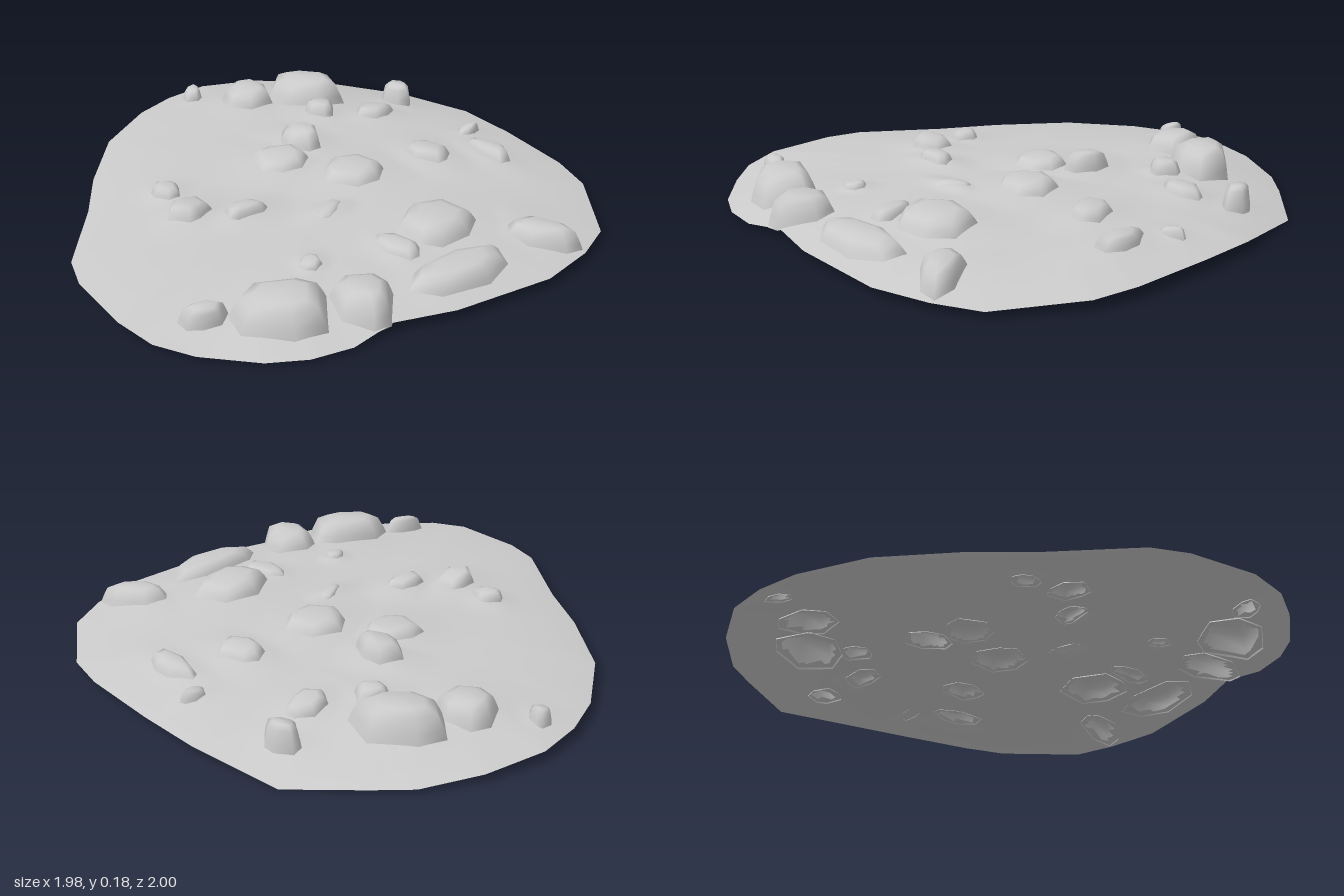
import * as THREE from 'three';
import { mergeVertices } from 'three/addons/utils/BufferGeometryUtils.js';

// Rim of the ground patch, clockwise from the back: x, y, z
const rim = [
  [0.18, 0.04, -1], [0.41, 0.03, -0.94], [0.61, 0.015, -0.83], [0.72, 0.012, -0.72],
  [0.91, 0, -0.5], [0.98, 0.035, -0.15], [0.985, 0.04, 0.1], [0.97, 0.04, 0.42],
  [0.93, 0.035, 0.59], [0.74, 0.025, 0.87], [0.58, 0.03, 0.95], [0.36, 0.03, 1],
  [-0.03, 0.035, 0.97], [-0.25, 0.035, 0.905], [-0.42, 0.015, 0.92], [-0.57, 0.012, 0.89],
  [-0.7, 0.01, 0.82], [-0.86, 0.012, 0.67], [-0.95, 0.025, 0.55], [-0.99, 0.04, 0.4],
  [-0.99, 0.04, 0.12], [-0.95, 0.04, -0.02], [-0.74, 0.04, -0.3], [-0.61, 0.04, -0.51],
  [-0.41, 0.04, -0.76], [-0.17, 0.04, -0.92], [0, 0.04, -0.98],
];

// Rocks: x, z, half width, half depth, turn, top height
const boulders = [
  [0.22, -0.70, 0.10, 0.11, 0.0, 0.15], [0.44, -0.59, 0.11, 0.17, -0.7, 0.175],
  [0.01, -0.14, 0.10, 0.09, 0.4, 0.135], [0.17, -0.22, 0.07, 0.10, 0.1, 0.165],
  [0.18, 0.11, 0.12, 0.11, 0.2, 0.145], [-0.54, 0.68, 0.17, 0.12, 0.6, 0.145],
  [-0.28, 0.78, 0.10, 0.12, 0.0, 0.135], [0.20, 0.58, 0.15, 0.12, 0.0, 0.15],
  [0.09, 0.83, 0.20, 0.09, 0.0, 0.115], [0.49, 0.82, 0.07, 0.13, -0.6, 0.12],
];
const stones = [
  [0.40, -0.41, 0.06, 0.06, 0.0, 0.14], [0.77, -0.37, 0.05, 0.07, -0.3, 0.14],
  [0.52, 0.14, 0.07, 0.09, -0.4, 0.135], [0.75, 0.25, 0.05, 0.11, 0.0, 0.12],
  [-0.48, -0.01, 0.08, 0.07, 0.0, 0.135], [-0.47, -0.19, 0.05, 0.06, 0.0, 0.12],
  [-0.31, 0.11, 0.08, 0.05, 0.1, 0.13], [0.0, 0.61, 0.05, 0.09, -0.3, 0.115],
  [-0.05, 0.27, 0.07, 0.03, -0.5, 0.105], [0.59, -0.29, 0.08, 0.06, 0.0, 0.12],
  [-0.31, 0.52, 0.04, 0.04, 0.0, 0.105], [0.06, -0.88, 0.04, 0.05, 0.4, 0.11],
  [0.81, 0.05, 0.05, 0.03, 0.0, 0.1], [-0.76, 0.56, 0.08, 0.04, 0.4, 0.11],
];

const material = new THREE.MeshStandardMaterial({ color: 0xcccccc, side: THREE.DoubleSide });

let seed = 11;
const random = () => (seed = (seed * 16807) % 2147483647) / 2147483647;

// Irregular seven-sided footprint for each rock
const makeRock = ([x, z, rx, rz, turn, top]) => {
  const sides = 7, start = random() * 6;
  const corners = [];
  for (let i = 0; i < sides; i++) {
    const a = start + ((i + 0.5 * random()) / sides) * Math.PI * 2;
    const r = 0.92 + 0.18 * random();
    const u = Math.cos(a) * rx * r, v = Math.sin(a) * rz * r;
    corners.push([u * Math.cos(turn) - v * Math.sin(turn), u * Math.sin(turn) + v * Math.cos(turn)]);
  }
  return { x, z, rx, rz, top, corners, lean: [random() - 0.5, random() - 0.5] };
};

// Position inside a ring of [x, z] corners: 0 at the centre, 1 on the edge
function locate(ring, x, z) {
  for (let i = 0; i < ring.length; i++) {
    const a = ring[i], b = ring[(i + 1) % ring.length];
    const d = a[0] * b[1] - a[1] * b[0];
    const u = (x * b[1] - z * b[0]) / d, v = (a[0] * z - a[1] * x) / d;
    if (u >= -1e-6 && v >= -1e-6) return { t: u + v, i, w: v / (u + v || 1) };
  }
  return { t: 0, i: 0, w: 0 };
}

// Surface through rings of points ordered from the middle outwards
function skin(rings, keep = () => true) {
  const n = rings[0].length, index = [];
  for (let j = 0; j < rings.length - 1; j++) {
    for (let i = 0; i < n; i++) {
      const k = (i + 1) % n;
      const tris = [[[j, i], [j + 1, k], [j + 1, i]]];
      if (j > 0) tris.push([[j, i], [j, k], [j + 1, k]]);
      for (const tri of tris) {
        if (keep(tri.map(([r, c]) => rings[r][c]))) index.push(...tri.map(([r, c]) => r * n + c));
      }
    }
  }
  let geometry = new THREE.BufferGeometry();
  geometry.setAttribute('position', new THREE.Float32BufferAttribute(rings.flat(2), 3));
  geometry.setIndex(index);
  geometry = mergeVertices(geometry, 1e-5);
  geometry.computeVertexNormals();
  return geometry;
}

export function createModel() {
  const model = new THREE.Group();
  const big = boulders.map(makeRock), small = stones.map(makeRock);
  const rocks = [...big, ...small];
  const outline = rim.map(([x, , z]) => [x, z]);

  // Low mound that swells a little around every rock
  const groundY = (x, z) => {
    const { t, i, w } = locate(outline, x, z);
    const edge = THREE.MathUtils.lerp(rim[i][1], rim[(i + 1) % rim.length][1], w);
    const rise = 1 - Math.pow(Math.min(t, 1), 3.5);
    let swell = 0;
    for (const r of rocks) {
      const q = ((x - r.x) / (r.rx * 1.6)) ** 2 + ((z - r.z) / (r.rz * 1.6)) ** 2;
      swell = Math.max(swell, 0.018 * Math.exp(-q));
    }
    return edge + (0.088 + 0.008 * x - edge + swell) * rise;
  };

  // Ground sheet, open under the rocks
  const steps = 6, count = 48, rings = [];
  for (let j = 0; j <= count; j++) {
    const ring = [], t = j / count;
    for (let i = 0; i < rim.length * steps; i++) {
      const a = outline[Math.floor(i / steps)], b = outline[(Math.floor(i / steps) + 1) % rim.length];
      const w = (i % steps) / steps;
      const x = t * (a[0] + (b[0] - a[0]) * w), z = t * (a[1] + (b[1] - a[1]) * w);
      ring.push([x, groundY(x, z), z]);
    }
    rings.push(ring);
  }
  const underRock = ([x, , z]) => rocks.some((r) =>
    Math.abs(x - r.x) < 0.25 && Math.abs(z - r.z) < 0.25 && locate(r.corners, x - r.x, z - r.z).t < 0.94);
  const ground = new THREE.Mesh(skin(rings, (tri) => !tri.every(underRock)), material);
  ground.name = 'ground';
  model.add(ground);

  // Hollow rocks: centre, top face, shoulder and skirt; each level is [spread, height share]
  const levels = [[0, 1], [0.55, 0.97], [0.82, 0.78], [0.97, 0.3], [1.06, -0.05]];
  const addRocks = (list, groupName, name) => {
    const group = new THREE.Group();
    group.name = groupName;
    for (const r of list) {
      const loops = levels.map(([spread, share]) => r.corners.map(([u, v]) => {
        const x = r.x + u * spread, z = r.z + v * spread, base = groundY(x, z);
        const tilt = 0.02 * spread * (r.lean[0] * u / r.rx + r.lean[1] * v / r.rz);
        const y = base + share * Math.max(r.top + tilt - base, 0.008);
        return [x, y, z];
      }));
      const mesh = new THREE.Mesh(skin(loops), material);
      mesh.name = name;
      group.add(mesh);
    }
    model.add(group);
  };
  addRocks(big, 'boulders', 'boulder');
  addRocks(small, 'stones', 'stone');
  return model;
}
